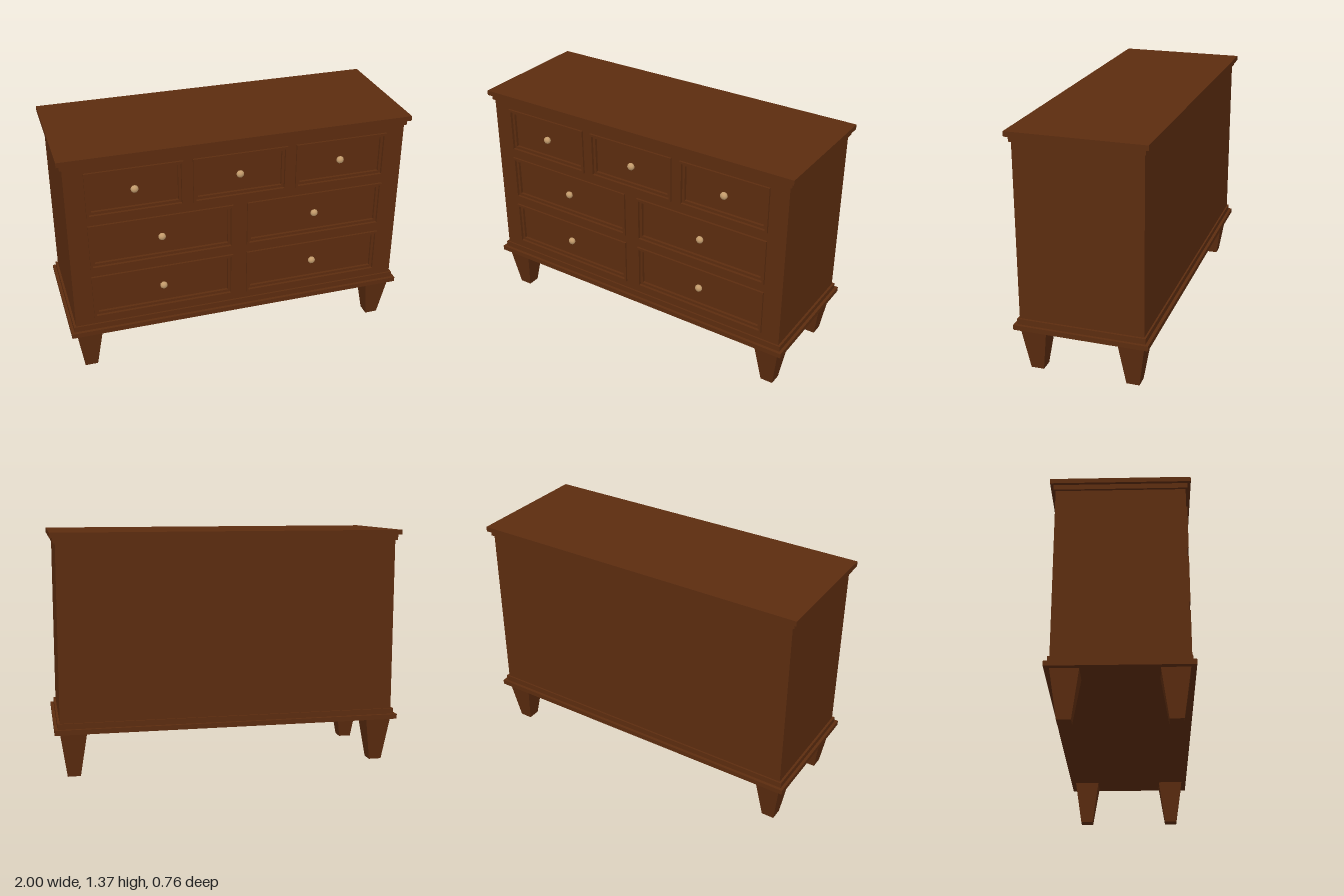
import * as THREE from 'three';

const wood = new THREE.MeshStandardMaterial({ color: 0x5c2c0f });
wood.name = 'brown wood';
const brass = new THREE.MeshStandardMaterial({ color: 0xc49c6c });
brass.name = 'pale brass';

const BACK = 0.31;    // rear of the drawer openings
const FACE = 0.35;    // front of the carcass

function add(parent, name, geometry, material, x = 0, y = 0, z = 0) {
  const mesh = new THREE.Mesh(geometry, material);
  mesh.name = name;
  mesh.position.set(x, y, z);
  parent.add(mesh);
  return mesh;
}

function slab(parent, name, w, d, y0, y1) {
  return add(parent, name, new THREE.BoxGeometry(w, y1 - y0, d), wood, 0, (y0 + y1) / 2, 0);
}

function rect(path, x0, y0, x1, y1) {
  path.moveTo(x0, y0);
  path.lineTo(x1, y0);
  path.lineTo(x1, y1);
  path.lineTo(x0, y1);
  path.closePath();
  return path;
}

// Upright board with rectangular openings
function pierced(outer, holes, depth) {
  const shape = rect(new THREE.Shape(), ...outer);
  for (const h of holes) shape.holes.push(rect(new THREE.Path(), ...h));
  return new THREE.ExtrudeGeometry(shape, { depth, bevelEnabled: false });
}

// Drawer front: stepped frame, sunken panel and a small faceted knob
function drawer(w, h) {
  const g = new THREE.Group();
  g.name = 'drawer';
  const inset = (d) => [-w / 2 + d, -h / 2 + d, w / 2 - d, h / 2 - d];
  add(g, 'outerFrame', pierced(inset(0), [inset(0.013)], 0.362 - BACK), wood, 0, 0, BACK);
  add(g, 'innerFrame', pierced(inset(0.013), [inset(0.028)], 0.346 - BACK), wood, 0, 0, BACK);
  add(g, 'panel', new THREE.BoxGeometry(w - 0.056, h - 0.056, 0.02), wood, 0, 0, 0.32);
  const stem = add(g, 'knobStem', new THREE.CylinderGeometry(0.01, 0.012, 0.02, 10), brass, 0, 0, 0.335);
  stem.rotation.x = Math.PI / 2;
  const knob = add(g, 'knob', new THREE.IcosahedronGeometry(0.022, 1), brass, 0, 0, 0.346);
  knob.scale.z = 0.8;
  return g;
}

// Square leg narrowing to the foot
function legGeometry() {
  const g = new THREE.BoxGeometry(0.15, 0.26, 0.15);
  const p = g.attributes.position;
  for (let i = 0; i < p.count; i++) {
    if (p.getY(i) < 0) {
      p.setX(i, p.getX(i) * 0.49);
      p.setZ(i, p.getZ(i) * 0.49);
    }
  }
  g.computeVertexNormals();
  return g;
}

export function createModel() {
  const root = new THREE.Group();
  root.name = 'chestOfDrawers';

  // Carcass behind the openings
  add(root, 'carcass', new THREE.BoxGeometry(1.94, 1.03, BACK + FACE), wood, 0, 0.815, (BACK - FACE) / 2);

  // Mouldings and top
  slab(root, 'topBoard', 2, 0.756, 1.342, 1.37);
  slab(root, 'topMoulding', 1.966, 0.72, 1.312, 1.342);
  slab(root, 'baseMoulding', 1.966, 0.72, 0.285, 0.317);
  slab(root, 'baseBoard', 2, 0.756, 0.257, 0.285);

  // Drawer rows: bottom, top, and [left, right] of each drawer
  const two = [[-0.862, -0.041], [0.041, 0.862]];
  const three = [[-0.862, -0.323], [-0.27, 0.27], [0.323, 0.862]];
  const rows = [
    [1.008, 1.275, three],
    [0.683, 0.957, two],
    [0.36, 0.632, two],
  ];
  const openings = [];
  for (const [y0, y1, spans] of rows) {
    for (const [x0, x1] of spans) {
      openings.push([x0, y0, x1, y1]);
      const d = drawer(x1 - x0, y1 - y0);
      d.position.set((x0 + x1) / 2, (y0 + y1) / 2, 0);
      root.add(d);
    }
  }
  add(root, 'faceFrame', pierced([-0.97, 0.3, 0.97, 1.33], openings, FACE - BACK), wood, 0, 0, BACK);

  // Legs
  const leg = legGeometry();
  for (const x of [-1, 1]) {
    for (const z of [-1, 1]) {
      add(root, (z > 0 ? 'front' : 'back') + (x > 0 ? 'Left' : 'Right') + 'Leg', leg, wood, x * 0.895, 0.13, z * 0.275);
    }
  }
  return root;
}
